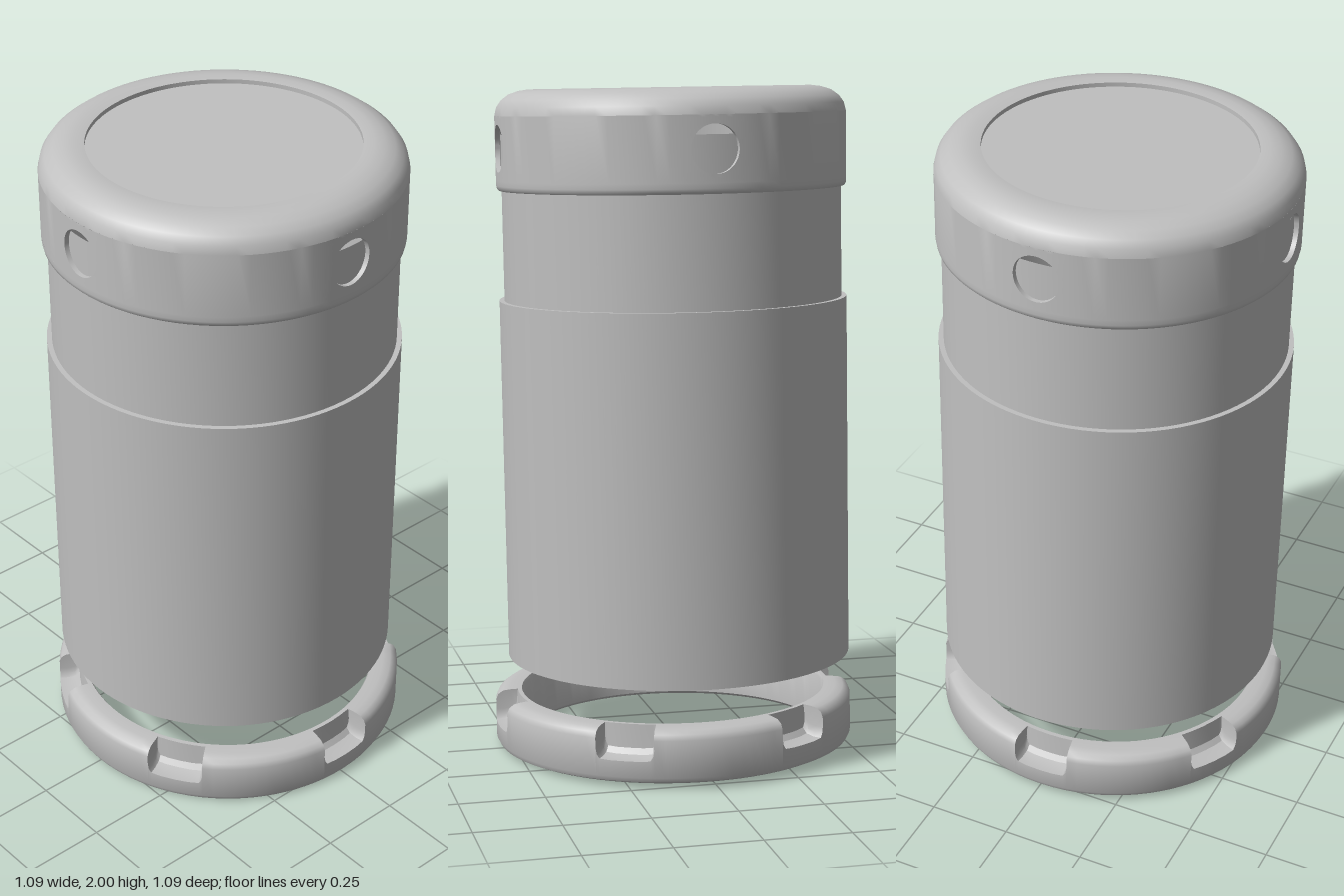
import * as THREE from 'three';
import { mergeGeometries, toCreasedNormals } from 'three/addons/utils/BufferGeometryUtils.js';

const TAU = Math.PI * 2;
const SEG = 96;
const TILT = 0.0135;

// Surface through a grid of points; u runs along the sweep, v along the section
function grid(nu, nv, point) {
  const pos = [], idx = [];
  for (let i = 0; i <= nu; i++) for (let j = 0; j <= nv; j++) pos.push(...point(i, j));
  for (let i = 0; i < nu; i++) for (let j = 0; j < nv; j++) {
    const a = i * (nv + 1) + j, b = a + nv + 1;
    idx.push(a, b, a + 1, b, b + 1, a + 1);
  }
  const g = new THREE.BufferGeometry();
  g.setAttribute('position', new THREE.Float32BufferAttribute(pos, 3));
  g.setIndex(idx);
  return g;
}

const lathe = (pts, segs = SEG, start = 0, length = TAU) =>
  new THREE.LatheGeometry(pts.map(p => new THREE.Vector2(...p)), segs, start, length);

const around = (r, phi, y) => [r * Math.sin(phi), y, r * Math.cos(phi)];

// Join pieces, smooth the round surfaces and keep the edges sharp
function solid(name, material, pieces) {
  const bare = pieces.map(p => {
    const g = p.toNonIndexed();
    const out = new THREE.BufferGeometry();
    out.setAttribute('position', g.getAttribute('position'));
    return out;
  });
  const mesh = new THREE.Mesh(toCreasedNormals(mergeGeometries(bare), 0.6), material);
  mesh.name = name;
  return mesh;
}

// Cap shell with four round holes through its side wall
function capPieces() {
  const R = 0.523, inner = 0.509, holeY = 1.82, holeR = 0.07, half = 0.095;
  const a = half / R, low = holeY - half, high = holeY + half;
  const pieces = [
    lathe([[0.507, 1.695], [0.516, 1.695], [0.521, 1.7], [R, 1.71], [R, low]]),
    lathe([[R, high], [0.517, 1.94], [0.503, 1.96], [0.48, 1.977], [0.45, 1.987],
      [0.42, 1.991], [0.39, 1.988], [0.39, 1.975], [0, 1.975]]),
  ];
  for (let k = 0; k < 4; k++) {
    const mid = k * Math.PI / 2;
    // plain wall between two holes
    pieces.push(lathe([[R, low], [R, high]], 18, mid + a, Math.PI / 2 - 2 * a));
    // square patch around a hole, with the short tunnel as its first row
    pieces.push(grid(48, 5, (i, j) => {
      const t = -TAU * i / 48, c = Math.cos(t), s = Math.sin(t);
      const edge = half / Math.max(Math.abs(c), Math.abs(s));
      const d = THREE.MathUtils.lerp(holeR, edge, Math.max(0, j - 1) / 4);
      return around(j === 0 ? inner : R, mid + c * d / R, holeY + s * d);
    }));
  }
  return pieces;
}

// Ring with six pockets cut into its outer top edge
function ringPieces() {
  const half = 0.162, stations = [];
  for (let k = 0; k < 6; k++) {
    const mid = k * TAU / 6 + 0.018;
    // pocket floor, rounded up at both ends
    stations.push([mid - half, null]);
    for (const [f, h] of [[-1, 0.1], [-0.96, 0.082], [-0.87, 0.07], [-0.5, 0.068], [0, 0.068],
      [0.5, 0.068], [0.87, 0.07], [0.96, 0.082], [1, 0.1]]) stations.push([mid + f * half, h]);
    // full section up to the next pocket
    for (let i = 0; i < 12; i++) stations.push([mid + half + (TAU / 6 - 2 * half) * i / 12, null]);
  }
  stations.push([stations[0][0] + TAU, null]);

  const section = h => [
    [0.46, 0.008], [0.468, 0], [0.525, 0], [0.538, 0.006], [0.545, 0.02],
    ...(h === null
      ? [[0.545, 0.13], [0.538, 0.146], [0.523, 0.156], [0.5, 0.159], [0.478, 0.16]]
      : [[0.545, h], [0.52, h], [0.495, h + 0.006], [0.482, h + 0.022], [0.478, 0.16]]),
    [0.465, 0.16], [0.46, 0.152], [0.46, 0.008],
  ];
  return [grid(stations.length - 1, 12, (i, j) => {
    const [phi, h] = stations[i];
    const [r, y] = section(h)[j];
    return around(r, phi, y);
  })];
}

export function createModel() {
  const grey = new THREE.MeshStandardMaterial({ color: 0xc0c0c0, side: THREE.DoubleSide });
  grey.name = 'plain grey';

  const model = new THREE.Group();
  model.name = 'canister';

  // Tube and cap share one slightly leaning axis
  const upper = new THREE.Group();
  upper.name = 'upperAssembly';
  upper.position.set(0.0045, 0, -0.02);
  upper.rotation.set(TILT, 0, TILT);
  upper.add(
    solid('bodySleeve', grey, [lathe([[0.522, 0.282], [0.522, 1.366], [0.507, 1.366]])]),
    solid('neckTube', grey, [lathe([[0.507, 1.366], [0.507, 1.86]])]),
    solid('cap', grey, capPieces()),
  );

  // Separate ring below the tube
  const ring = solid('notchedBaseRing', grey, ringPieces());
  ring.position.set(0, 0.0105, 0);
  ring.rotation.set(TILT, 0, TILT);

  model.add(upper, ring);
  return model;
}
